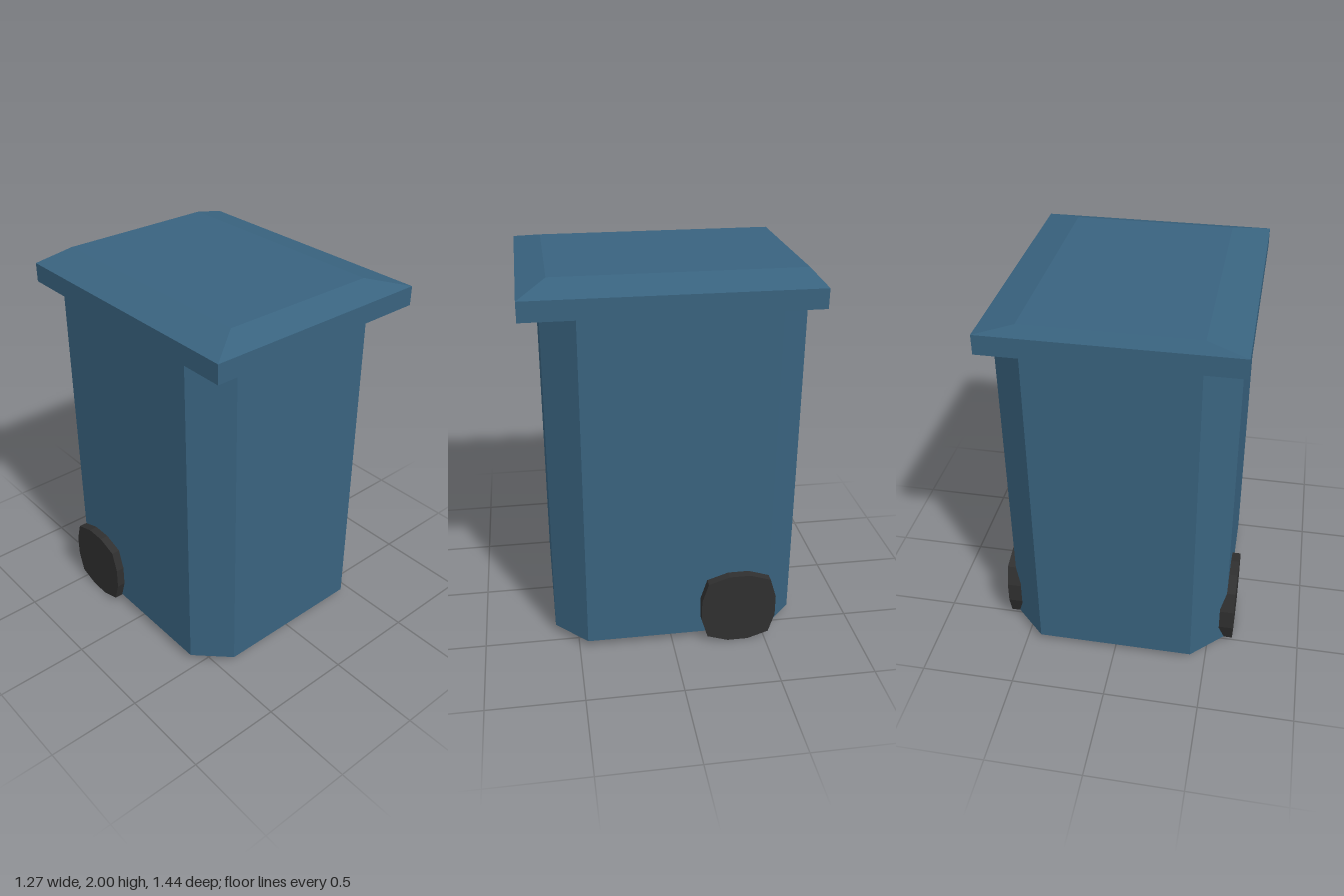
import * as THREE from 'three';

// Flat-sided geometry from convex polygons, each listed counter-clockwise from outside
function fromPolygons(polygons) {
  const pos = [];
  for (const p of polygons)
    for (let i = 1; i < p.length - 1; i++) pos.push(...p[0], ...p[i], ...p[i + 1]);
  const g = new THREE.BufferGeometry();
  g.setAttribute('position', new THREE.Float32BufferAttribute(pos, 3));
  g.computeVertexNormals();
  return g;
}

// Quads joining two rings of equal length
function band(a, b) {
  return a.map((p, i) => {
    const j = (i + 1) % a.length;
    return [p, a[j], b[j], b[i]];
  });
}

export function createModel() {
  const blue = new THREE.MeshStandardMaterial({ color: 0x39637f, side: THREE.DoubleSide, flatShading: true });
  blue.name = 'binBlue';
  const black = new THREE.MeshStandardMaterial({ color: 0x303030, side: THREE.DoubleSide, flatShading: true });
  black.name = 'wheelBlack';

  const model = new THREE.Group();
  model.name = 'wheeledBin';
  const add = (name, polygons, material) => {
    const mesh = new THREE.Mesh(fromPolygons(polygons), material);
    mesh.name = name;
    model.add(mesh);
    return mesh;
  };

  // Hollow body with chamfered corners; the floor is closed only along front and back
  const plan = [[0.59, 0.455], [0.59, -0.52], [0.42, -0.685], [0.42 * -1, -0.685],
    [-0.59, -0.52], [-0.59, 0.455], [-0.42, 0.62], [0.42, 0.62]];
  const bodyRing = (y) => plan.map(([x, z]) => [x, y, z]);
  const low = bodyRing(0.04), high = bodyRing(1.85);
  add('body', band(low, high), blue);
  add('floorFront', [[low[0], low[7], low[6], low[5]]], blue);
  add('floorBack', [[low[4], low[3], low[2], low[1]]], blue);

  // Lid: a slab with a shallow sloped top
  const lidRing = (x, y, front, back) => [[x, y, front], [x, y, back], [-x, y, back], [-x, y, front]];
  const rim = lidRing(0.62, 1.85, 0.722, -0.722);
  const edge = lidRing(0.62, 1.95, 0.722, -0.722);
  const crown = lidRing(0.425, 2, 0.578, -0.68);
  add('lid', [[...rim].reverse(), ...band(rim, edge), ...band(edge, crown), crown], blue);

  // Twelve-sided wheels, open on the inner side
  const quarter = [[0.2, 0.058], [0.167, 0.166], [0.055, 0.203]];
  const half = [...quarter, ...[...quarter].reverse().map(([u, v]) => [-u, v])];
  const outline = [...half, ...half.map(([u, v]) => [-u, -v])];
  const wheelRing = (x) => outline.map(([u, v]) => [x, v, -u]);
  const inner = wheelRing(0), outer = wheelRing(0.076);
  for (const side of [1, -1]) {
    const wheel = add(side > 0 ? 'leftWheel' : 'rightWheel', [...band(inner, outer), outer], black);
    wheel.position.set(side * 0.56, 0.203, -0.353);
    if (side < 0) wheel.rotation.y = Math.PI;
  }
  return model;
}
